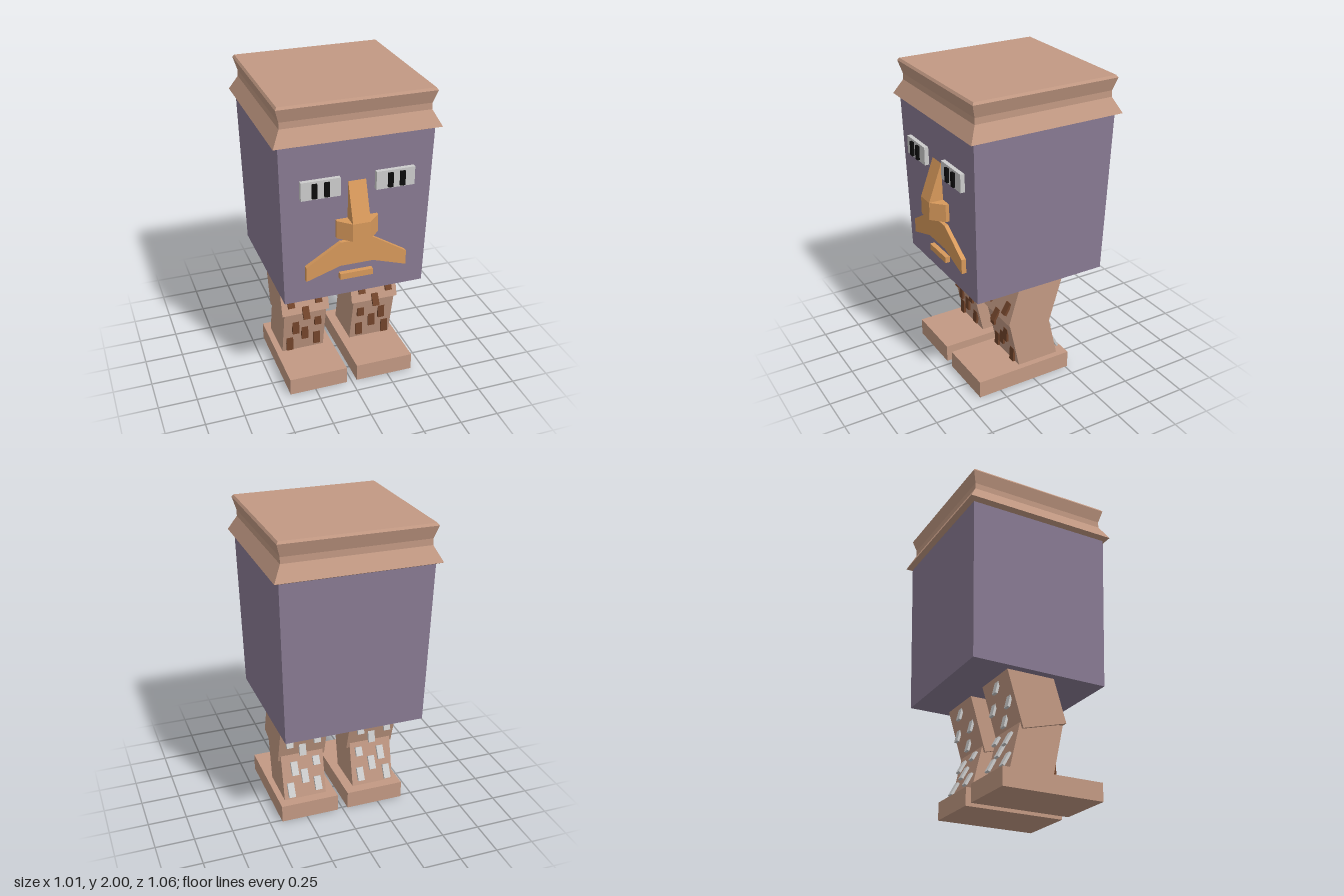
import * as THREE from 'three';

const mat = (name, color) => {
  const m = new THREE.MeshStandardMaterial({ color });
  m.name = name;
  return m;
};

export function createModel() {
  const skin = mat('skin', 0xc29983);
  const purple = mat('purple body', 0x897b93);
  const orange = mat('orange', 0xd7995b);
  const white = mat('pale grey', 0xcccccc);
  const black = mat('black', 0x0c0c0c);
  const brown = mat('brown', 0x70432a);

  const model = new THREE.Group();
  model.name = 'boxHeadFigure';

  const add = (parent, name, geometry, material, x = 0, y = 0, z = 0) => {
    const mesh = new THREE.Mesh(geometry, material);
    mesh.name = name;
    mesh.position.set(x, y, z);
    parent.add(mesh);
    return mesh;
  };
  const box = (w, h, d) => new THREE.BoxGeometry(w, h, d);

  // Square-section solid from [half width, y] pairs, bottom to top
  const squareLoft = (profile) => {
    const pts = profile.map(([half, y]) => new THREE.Vector2(half * Math.SQRT2, y));
    pts.unshift(new THREE.Vector2(0, profile[0][1]));
    pts.push(new THREE.Vector2(0, profile[profile.length - 1][1]));
    const g = new THREE.LatheGeometry(pts, 4).rotateY(Math.PI / 4).toNonIndexed();
    g.computeVertexNormals();
    return g;
  };

  // Polygon extruded evenly to both sides of its plane
  const prism = (points, depth) => {
    const shape = new THREE.Shape(points.map(([u, v]) => new THREE.Vector2(u, v)));
    return new THREE.ExtrudeGeometry(shape, { depth, bevelEnabled: false }).translate(0, 0, -depth / 2);
  };
  // Polygon given as [z, y], extruded along x
  const sidePrism = (points, width) => prism(points, width).rotateY(-Math.PI / 2);

  // Tapered body and flared cap
  add(model, 'body', squareLoft([[0.448, 0.72], [0.474, 1.77]]), purple, 0, 0, -0.023);
  add(model, 'cap', squareLoft([
    [0.475, 1.755], [0.507, 1.77], [0.457, 1.865], [0.457, 1.905], [0.48, 1.985], [0.47, 2],
  ]), skin, 0, 0, -0.024);

  // Face
  const face = new THREE.Group();
  face.name = 'face';
  model.add(face);
  for (const s of [-1, 1]) {
    add(face, 'eye', box(0.24, 0.115, 0.06), white, s * 0.23, 1.482, 0.442);
    for (const x of [0.195, 0.27]) {
      add(face, 'pupil', box(0.031, 0.09, 0.03), black, s * x, 1.48, 0.472);
    }
  }
  add(face, 'noseBridge', sidePrism([
    [0.42, 1.14], [0.532, 1.14], [0.532, 1.255], [0.444, 1.495], [0.42, 1.495],
  ], 0.11), orange);
  add(face, 'nostrils', prism([
    [-0.13, 0.42], [0.13, 0.42], [0.13, 0.46], [0.055, 0.53], [-0.055, 0.53], [-0.13, 0.46],
  ], 0.115).rotateX(Math.PI / 2), orange, 0, 1.1975, 0);
  add(face, 'moustache', prism([
    [-0.32, 0.875], [-0.105, 0.945], [0.105, 0.945], [0.32, 0.875],
    [0.32, 0.97], [0.105, 1.105], [-0.105, 1.105], [-0.32, 0.97],
  ], 0.05), orange, 0, 0, 0.435);
  add(face, 'lip', box(0.21, 0.04, 0.05), orange, 0, 0.865, 0.435);

  // Tuft rows: [x, y, length]
  const thighTufts = [[0.245, 0.655, 0.085], [0.335, 0.543, 0.085], [0.15, 0.55, 0.085], [0.24, 0.455, 0.085]];
  const shinTufts = [[0.15, 0.355, 0.06], [0.3, 0.325, 0.09], [0.235, 0.265, 0.09], [0.15, 0.2, 0.09], [0.335, 0.185, 0.095]];
  const addTufts = (leg, side, name, rows, surface, tilt, material) => {
    for (const [x, y, length] of rows) {
      const tuft = add(leg, name, box(0.045, length, 0.016), material, side * x, y, surface(y));
      tuft.rotation.x = tilt;
    }
  };

  // Legs with bent knees and slab feet
  for (const s of [-1, 1]) {
    const leg = new THREE.Group();
    leg.name = s > 0 ? 'leftLeg' : 'rightLeg';
    model.add(leg);
    add(leg, 'thigh', sidePrism([[0.175, 0.45], [0.083, 0.76], [-0.234, 0.76], [-0.117, 0.37]], 0.318), skin, s * 0.238);
    add(leg, 'shin', sidePrism([[0.085, 0.1], [0.16, 0.44], [-0.13, 0.41], [-0.203, 0.1]], 0.285), skin, s * 0.238);
    add(leg, 'foot', box(0.385, 0.115, 0.665), skin, s * 0.2275, 0.0575, 0.0675);

    addTufts(leg, s, 'frontThighTuft', thighTufts, (y) => 0.108 + (0.72 - y) * 0.28, -0.52, brown);
    addTufts(leg, s, 'frontShinTuft', shinTufts, (y) => 0.098 + (y - 0.115) * 0.2, -0.05, brown);
    addTufts(leg, s, 'backThighTuft', thighTufts, (y) => -0.234 + (0.72 - y) * 0.3, 0.24, white);
    addTufts(leg, s, 'backShinTuft', shinTufts, (y) => -0.218 + (y - 0.115) * 0.23, 0.5, white);
  }

  return model;
}
